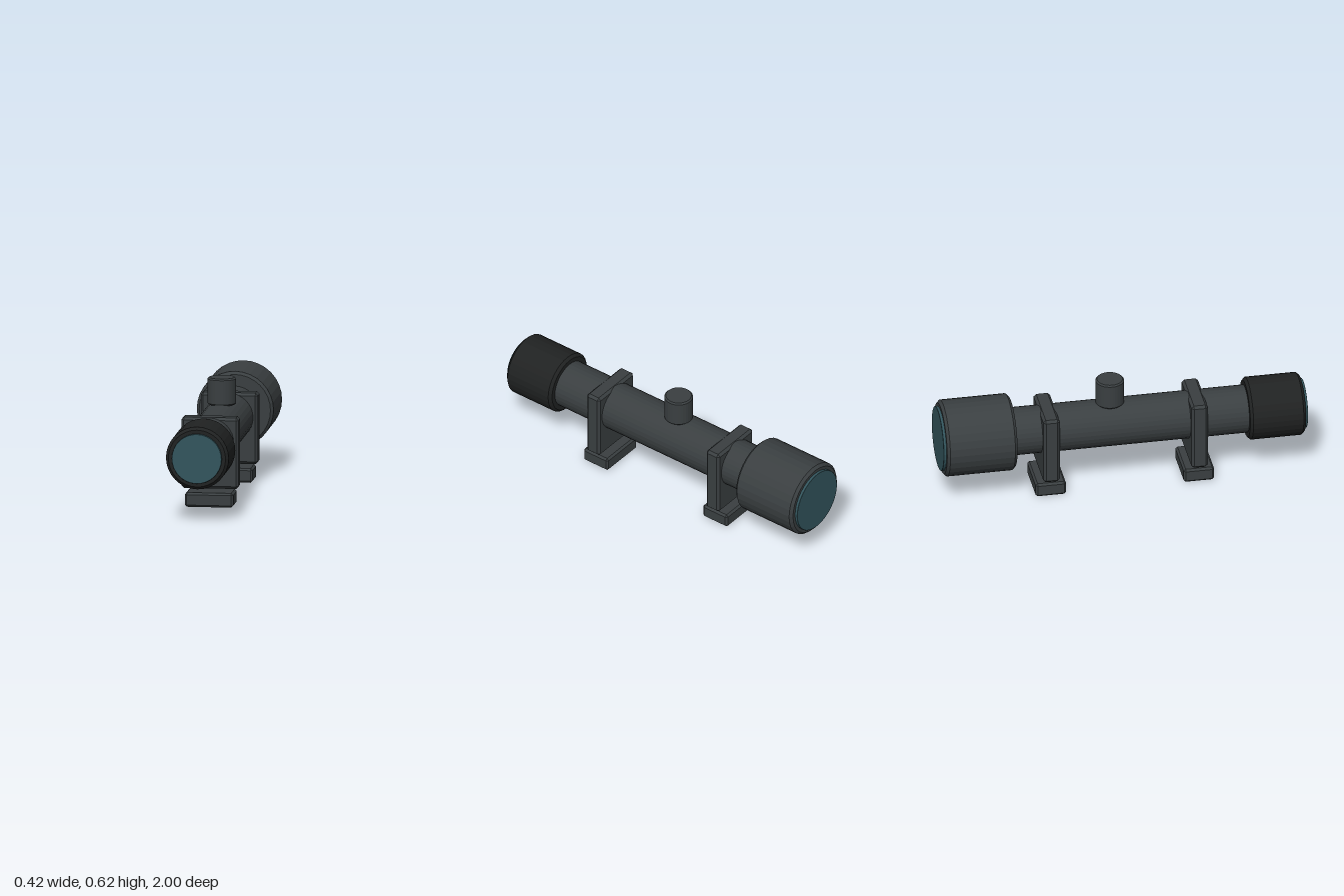
import * as THREE from 'three';
import { ConvexGeometry } from 'three/addons/geometries/ConvexGeometry.js';

const AXIS_Y = 0.35;
const SIDES = 32;

const material = (color) => new THREE.MeshStandardMaterial({ color, flatShading: true });

// Closed cylinder along y from a to b, with chamfered rims
function chamferedCylinder(radius, a, b, chamfer) {
  const profile = [
    [0, a], [radius - chamfer, a], [radius, a + chamfer],
    [radius, b - chamfer], [radius - chamfer, b], [0, b],
  ].map(([r, y]) => new THREE.Vector2(r, y));
  return new THREE.LatheGeometry(profile, SIDES);
}

// Box with every edge chamfered
function chamferedBox(w, h, d, c) {
  const points = [];
  for (const sx of [-1, 1]) for (const sy of [-1, 1]) for (const sz of [-1, 1]) {
    const x = w / 2, y = h / 2, z = d / 2;
    points.push(
      new THREE.Vector3(sx * x, sy * (y - c), sz * (z - c)),
      new THREE.Vector3(sx * (x - c), sy * y, sz * (z - c)),
      new THREE.Vector3(sx * (x - c), sy * (y - c), sz * z),
    );
  }
  return new ConvexGeometry(points);
}

export function createModel() {
  const group = new THREE.Group();
  const body = material(0x3a3f41);
  const rubber = material(0x202222);
  const glass = material(0x33555d);

  const add = (name, geometry, mat, x = 0, y = 0, z = 0) => {
    const mesh = new THREE.Mesh(geometry, mat);
    mesh.name = name;
    mesh.position.set(x, y, z);
    group.add(mesh);
    return mesh;
  };

  // Parts turned around the optical axis, given from z = a to z = b
  const turned = (name, radius, a, b, chamfer, mat) => {
    const geometry = chamferedCylinder(radius, a, b, chamfer).rotateX(Math.PI / 2);
    add(name, geometry, mat, 0, AXIS_Y, 0);
  };
  turned('mainTube', 0.13, -0.7, 0.75, 0.01, body);
  turned('eyepiece', 0.17, 0.68, 0.985, 0.015, rubber);
  turned('objectiveBell', 0.208, -0.985, -0.6, 0.015, body);
  turned('eyepieceLens', 0.135, 0.96, 1, 0.001, glass);
  turned('objectiveLens', 0.175, -1, -0.96, 0.001, glass);

  // Adjustment knob on top of the tube
  add('adjustmentKnob', chamferedCylinder(0.077, 0.472, 0.62, 0.008), body, 0, 0, -0.06);

  // Two mounting blocks, each with a separate clamp foot below
  for (const [side, z] of [['front', 0.405], ['rear', -0.405]]) {
    add(side + 'MountBlock', chamferedBox(0.31, 0.387, 0.09, 0.014), body, 0, 0.289, z);
    add(side + 'ClampFoot', chamferedBox(0.262, 0.078, 0.166, 0.011), body, 0, 0.039, z);
  }
  return group;
}
